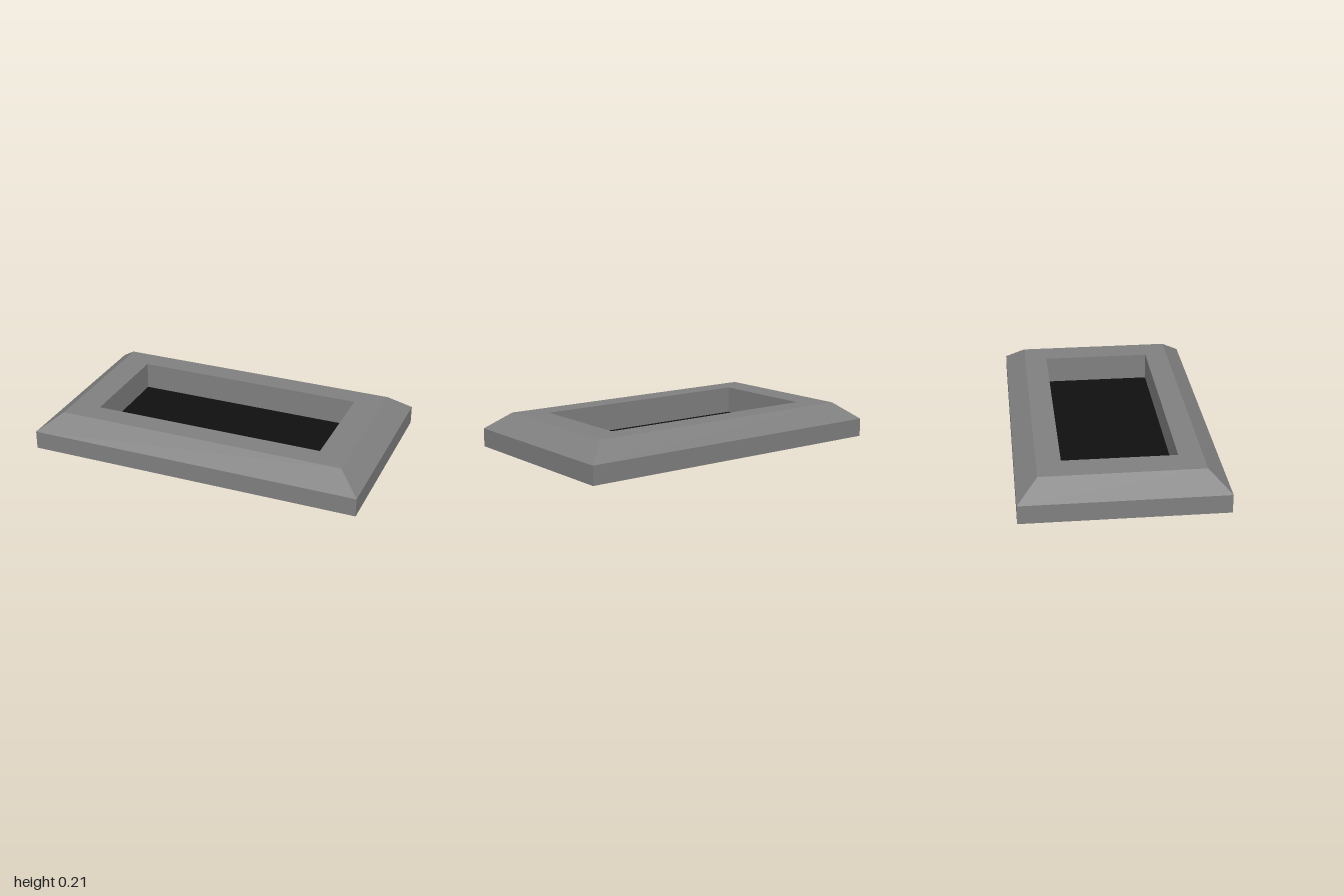
import * as THREE from 'three';

const CORNERS = [[1, 1], [1, -1], [-1, -1], [-1, 1]];

// Flat four-sided band between two rectangles given as [halfX, halfZ, y]
function band(name, lower, upper, material) {
  const pos = [];
  const at = (r, i) => [CORNERS[i % 4][0] * r[0], r[2], CORNERS[i % 4][1] * r[1]];
  for (let i = 0; i < 4; i++) {
    const a = at(lower, i), b = at(lower, i + 1), c = at(upper, i + 1), d = at(upper, i);
    pos.push(...a, ...b, ...c, ...a, ...c, ...d);
  }
  const geo = new THREE.BufferGeometry();
  geo.setAttribute('position', new THREE.Float32BufferAttribute(pos, 3));
  geo.computeVertexNormals();
  const mesh = new THREE.Mesh(geo, material);
  mesh.name = name;
  return mesh;
}

export function createModel() {
  const grey = new THREE.MeshStandardMaterial({ color: 0x808080, side: THREE.DoubleSide });
  grey.name = 'frame grey';
  const black = new THREE.MeshStandardMaterial({ color: 0x101010, side: THREE.DoubleSide });
  black.name = 'panel black';

  const base = [1, 0.587, 0];
  const shoulder = [1, 0.587, 0.11];
  const top = [0.87, 0.467, 0.21];
  const opening = [0.7, 0.328, 0.21];
  const well = [0.7, 0.328, 0.045];

  const model = new THREE.Group();
  model.name = 'recessedFrame';

  // Hollow frame, open underneath
  model.add(
    band('outerSkirt', base, shoulder, grey),
    band('bevel', shoulder, top, grey),
    band('topRim', top, opening, grey),
    band('wellWalls', opening, well, grey),
  );

  // Dark panel closing the bottom of the well
  const panel = new THREE.Mesh(new THREE.PlaneGeometry(well[0] * 2, well[1] * 2), black);
  panel.name = 'panel';
  panel.rotation.x = -Math.PI / 2;
  panel.position.y = well[2];
  model.add(panel);

  return model;
}
